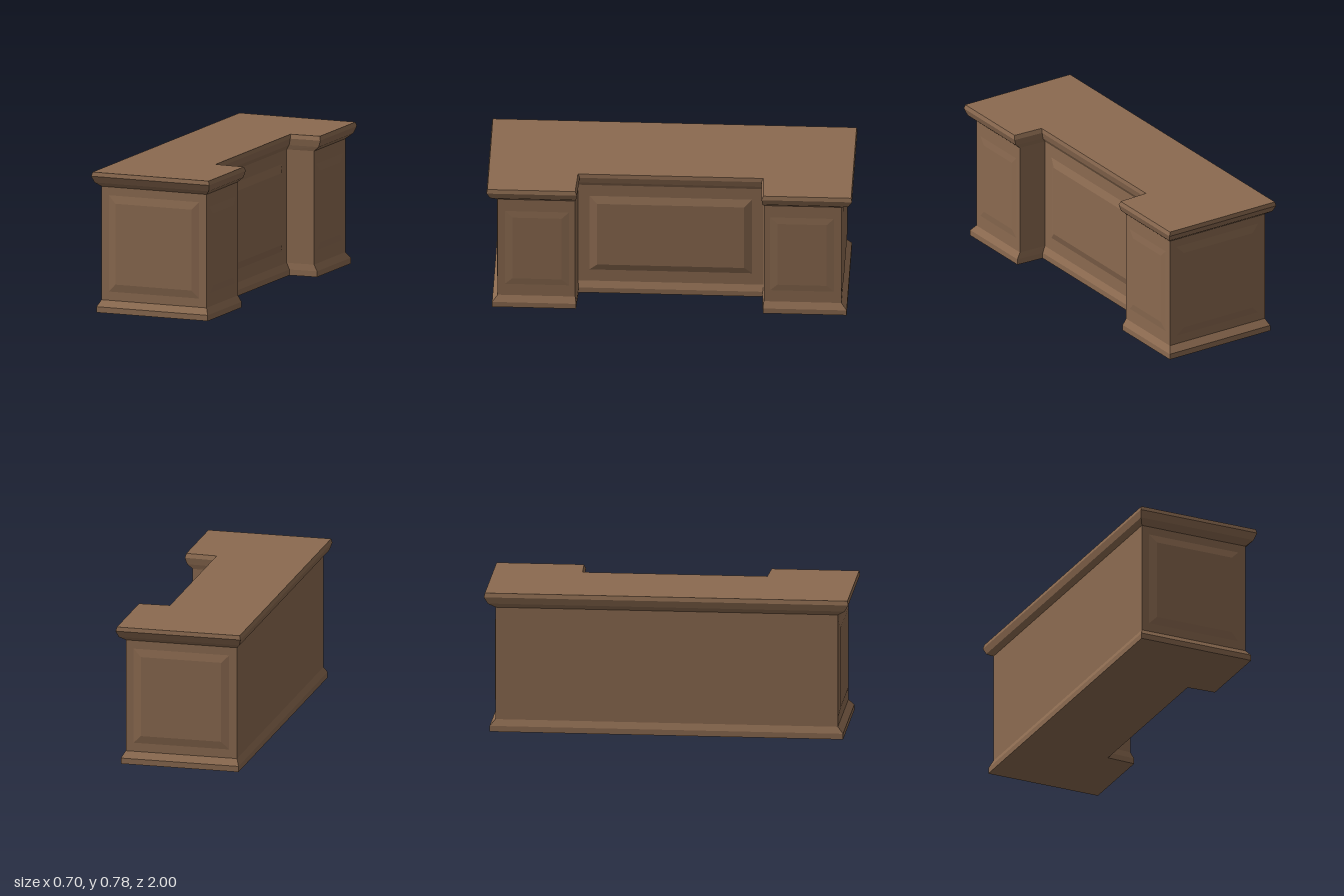
import * as THREE from 'three';

// Levels of the moulding profile:
// height, back x, front x, recess x, end z, recess side z (inner, outer)
const LEVELS = [
  [0, -0.334, 0.33, 0.168, 0.97, 0.503, 0.511],
  [0.032, -0.334, 0.33, 0.168, 0.97, 0.503, 0.511],
  [0.067, -0.318, 0.31, 0.15, 0.94, 0.508, 0.516],
  [0.697, -0.318, 0.31, 0.15, 0.94, 0.508, 0.516],
  [0.723, -0.342, 0.34, 0.167, 0.98, 0.502, 0.51],
  [0.76, -0.353, 0.352, 0.176, 1.0, 0.497, 0.505],
  [0.783, -0.347, 0.346, 0.173, 0.995, 0.507, 0.515],
];

// U-shaped outline at one level, counter-clockwise, with height along local z
function outline([h, xb, xf, xr, ze, zi, zo]) {
  return [[xf, -ze], [xf, -zo], [xr, -zi], [xr, zi], [xf, zo], [xf, ze], [xb, ze], [xb, -ze]]
    .map(([x, y]) => new THREE.Vector3(x, y, h));
}

// Rectangle, counter-clockwise
function rect(w, h, z) {
  return [[-1, -1], [1, -1], [1, 1], [-1, 1]]
    .map(([sx, sy]) => new THREE.Vector3(sx * w / 2, sy * h / 2, z));
}

// Join equal-length rings with faceted walls, optionally capping each end
function loft(rings, capStart, capEnd) {
  const pts = [];
  for (let r = 0; r < rings.length - 1; r++) {
    const a = rings[r], b = rings[r + 1];
    a.forEach((p, i) => {
      const j = (i + 1) % a.length;
      pts.push(p, a[j], b[j], p, b[j], b[i]);
    });
  }
  const cap = (ring, flip) => {
    const flat = ring.map(p => new THREE.Vector2(p.x, p.y));
    for (const [a, b, c] of THREE.ShapeUtils.triangulateShape(flat, [])) {
      pts.push(ring[a], ring[flip ? c : b], ring[flip ? b : c]);
    }
  };
  if (capStart) cap(rings[0], true);
  if (capEnd) cap(rings[rings.length - 1], false);
  const geo = new THREE.BufferGeometry().setFromPoints(pts);
  geo.computeVertexNormals();
  return geo;
}

export function createModel() {
  const group = new THREE.Group();
  const wood = new THREE.MeshStandardMaterial({ color: 0x8b6a50, flatShading: true });

  const add = (name, geo) => {
    const mesh = new THREE.Mesh(geo, wood);
    mesh.name = name;
    group.add(mesh);
    return mesh;
  };

  // Plinth, plain carcass and moulded countertop share one stepped profile
  const rings = LEVELS.map(outline);
  add('plinth', loft(rings.slice(0, 3), true, false)).rotation.x = -Math.PI / 2;
  add('carcass', loft(rings.slice(2, 4), false, false)).rotation.x = -Math.PI / 2;
  add('countertop', loft(rings.slice(3), false, true)).rotation.x = -Math.PI / 2;

  // Raised panel with bevelled border, turned to face outward
  const panel = (name, w, h, bevel, raise, pos, turn) => {
    const geo = loft([rect(w, h, 0), rect(w - 2 * bevel, h - 2 * bevel, raise)], false, true);
    const mesh = add(name, geo);
    mesh.position.set(...pos);
    mesh.rotation.y = turn;
  };

  // Panels on both ends and both pedestals
  for (const s of [1, -1]) {
    const side = s > 0 ? 'front' : 'back';
    panel(side + 'EndPanel', 0.54, 0.535, 0.043, 0.009, [-0.004, 0.383, s * 0.94], s > 0 ? 0 : Math.PI);
    panel(side + 'PedestalPanel', 0.35, 0.48, 0.04, 0.004, [0.31, 0.38, s * 0.725], Math.PI / 2);
  }

  // Wide panel inside the recess
  panel('recessPanel', 0.89, 0.485, 0.043, 0.014, [0.15, 0.383, 0], Math.PI / 2);

  return group;
}
